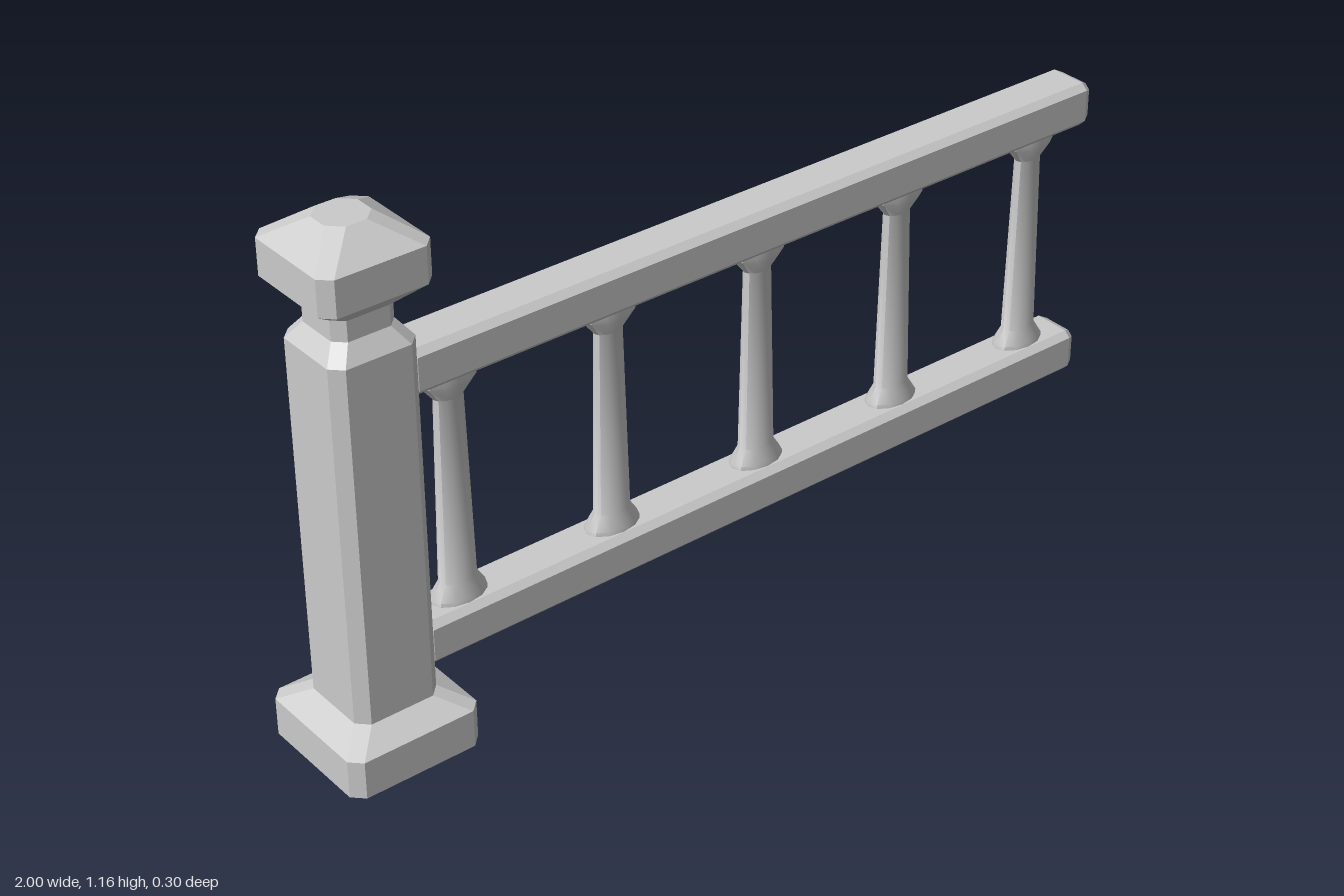
import * as THREE from 'three';
import { toCreasedNormals } from 'three/addons/utils/BufferGeometryUtils.js';

const flat = new THREE.MeshStandardMaterial({ color: 0xcccccc, flatShading: true });
const smooth = new THREE.MeshStandardMaterial({ color: 0xcccccc });

// Skin a list of equal-length rings (counter-clockwise seen from the end side) and cap both ends
function loft(rings) {
  const n = rings[0].length, pos = rings.flat(2), idx = [];
  for (let r = 0; r < rings.length - 1; r++) {
    for (let i = 0; i < n; i++) {
      const j = (i + 1) % n, a = r * n + i, b = r * n + j;
      idx.push(a, b, b + n, a, b + n, a + n);
    }
  }
  const last = (rings.length - 1) * n;
  for (let i = 1; i < n - 1; i++) {
    idx.push(0, i + 1, i, last, last + i, last + i + 1);
  }
  const g = new THREE.BufferGeometry();
  g.setAttribute('position', new THREE.Float32BufferAttribute(pos, 3));
  g.setIndex(idx);
  const out = g.toNonIndexed();
  out.computeVertexNormals();
  return out;
}

// Square of half-width h with corners cut by c, at height y
function cutSquare(h, c, y) {
  const k = h - c;
  return [[h, k], [k, h], [-k, h], [-h, k], [-h, -k], [-k, -h], [k, -h], [h, -k]]
    .map(([x, z]) => [x, y, -z]);
}

function mesh(name, geometry, material) {
  const m = new THREE.Mesh(geometry, material);
  m.name = name;
  return m;
}

// Rail: chamfered section with both ends bevelled
function railGeometry() {
  const section = [[0.042, 0.05], [0.057, 0.037], [0.057, -0.035], [0.042, -0.05],
    [-0.042, -0.05], [-0.057, -0.035], [-0.057, 0.037], [-0.042, 0.05]];
  const ring = (x, s) => section.map(([z, y]) => [x, y * s, z * s]);
  return loft([ring(-0.762, 0.82), ring(-0.744, 1), ring(0.982, 1), ring(1, 0.82)]);
}

// Turned spindle, flattened front to back
function balusterGeometry() {
  const profile = [[0.064, 0.235], [0.064, 0.256], [0.043, 0.288], [0.033, 0.705], [0.062, 0.742], [0.062, 0.775]]
    .map(([r, y]) => new THREE.Vector2(r, y));
  const g = new THREE.LatheGeometry(profile, 12);
  g.scale(1, 1, 0.63);
  return toCreasedNormals(g, 0.6);
}

export function createModel() {
  const model = new THREE.Group();
  model.name = 'railing';

  // Newel post: [half-width, corner cut, height] sections
  const parts = {
    postBase: [[0.15, 0.024, 0], [0.15, 0.024, 0.085], [0.095, 0.024, 0.117]],
    postShaft: [[0.095, 0.024, 0.117], [0.095, 0.024, 0.91], [0.068, 0.022, 0.946]],
    postNeck: [[0.068, 0.022, 0.946], [0.068, 0.022, 0.99]],
    postCap: [[0.068, 0.022, 0.99], [0.121, 0.024, 1.037], [0.121, 0.024, 1.115], [0.05, 0.028, 1.165]],
  };
  const post = new THREE.Group();
  post.name = 'post';
  post.position.x = -0.85;
  for (const [name, rows] of Object.entries(parts)) {
    post.add(mesh(name, loft(rows.map((r) => cutSquare(...r))), flat));
  }
  model.add(post);

  // Rails
  const rail = railGeometry();
  for (const [name, y] of [['lowerRail', 0.197], ['upperRail', 0.812]]) {
    const m = mesh(name, rail, flat);
    m.position.y = y;
    model.add(m);
  }

  // Balusters
  const baluster = balusterGeometry();
  for (let i = 0; i < 5; i++) {
    const m = mesh('baluster' + (i + 1), baluster, smooth);
    m.position.x = -0.645 + i * 0.379;
    model.add(m);
  }
  return model;
}
